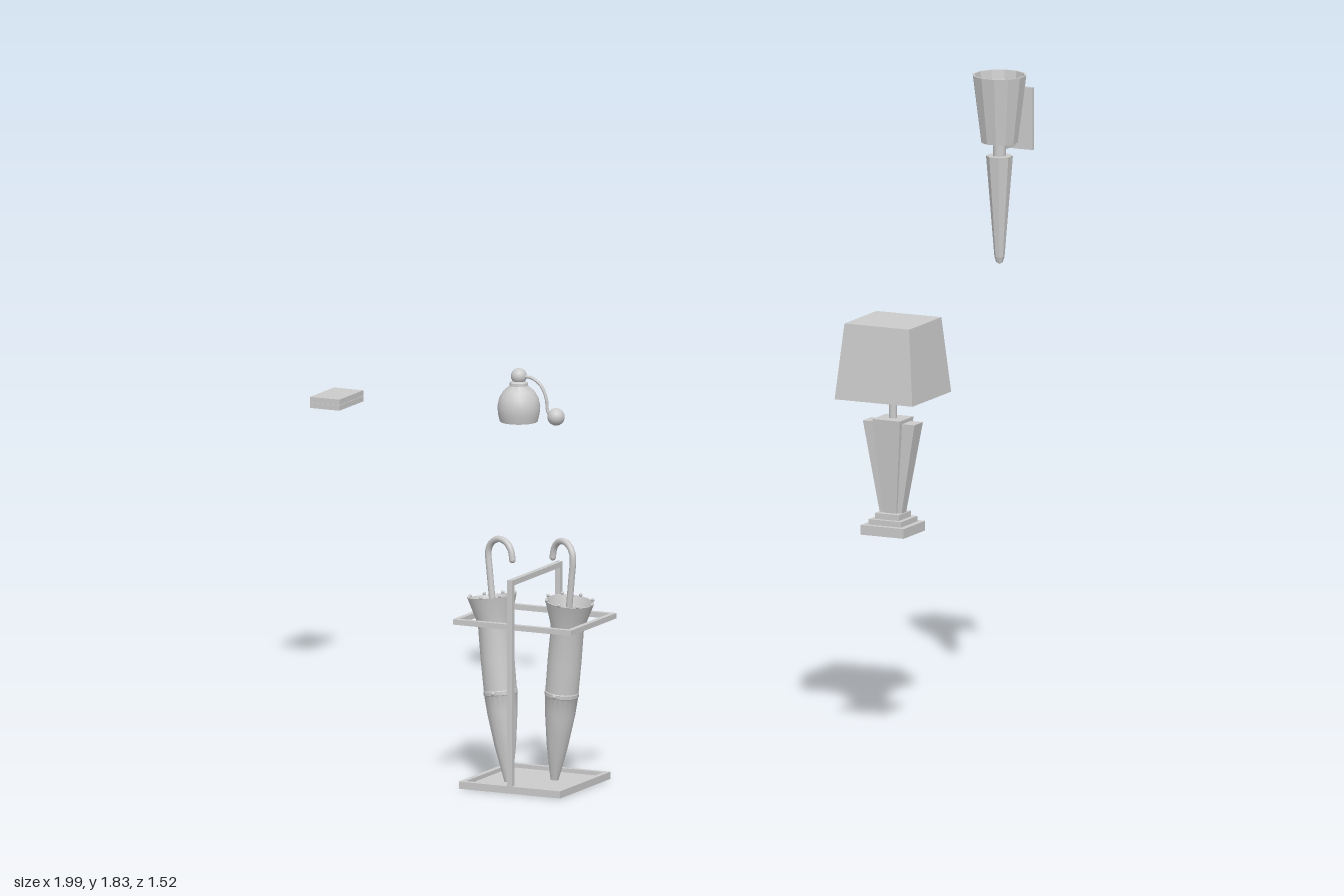
import * as THREE from 'three';
import { toCreasedNormals } from 'three/addons/utils/BufferGeometryUtils.js';

const grey = new THREE.MeshStandardMaterial({ color: 0xcccccc, side: THREE.DoubleSide });
const flatGrey = new THREE.MeshStandardMaterial({ color: 0xcccccc, side: THREE.DoubleSide, flatShading: true });

function add(parent, name, geometry, x = 0, y = 0, z = 0, material = grey) {
  const mesh = new THREE.Mesh(geometry, material);
  mesh.name = name;
  mesh.position.set(x, y, z);
  parent.add(mesh);
  return mesh;
}

function group(parent, name, x = 0, y = 0, z = 0) {
  const g = new THREE.Group();
  g.name = name;
  g.position.set(x, y, z);
  parent.add(g);
  return g;
}

// box given by its minimum and maximum corners
function bar(parent, name, x0, x1, y0, y1, z0, z1) {
  return add(parent, name, new THREE.BoxGeometry(x1 - x0, y1 - y0, z1 - z0),
    (x0 + x1) / 2, (y0 + y1) / 2, (z0 + z1) / 2);
}

function lathe(points, sides, start = 0) {
  const pts = points.map(([r, y]) => new THREE.Vector2(r, y));
  return toCreasedNormals(new THREE.LatheGeometry(pts, sides, start), 0.6);
}

// box whose top and bottom rectangles differ (half sizes)
function taper(topX, topZ, botX, botZ, y0, y1) {
  const geo = new THREE.BoxGeometry(2, y1 - y0, 2);
  geo.translate(0, (y0 + y1) / 2, 0);
  const p = geo.attributes.position;
  for (let i = 0; i < p.count; i++) {
    const top = p.getY(i) > (y0 + y1) / 2;
    p.setX(i, p.getX(i) * (top ? topX : botX));
    p.setZ(i, p.getZ(i) * (top ? topZ : botZ));
  }
  geo.computeVertexNormals();
  return geo;
}

function tube(points, radius, segments = 32) {
  const curve = new THREE.CatmullRomCurve3(points.map(p => new THREE.Vector3(...p)));
  return new THREE.TubeGeometry(curve, segments, radius, 10);
}

// slim case with a small clasp
function buildCase(root) {
  const g = group(root, 'smallCase');
  bar(g, 'caseBottom', -0.995, -0.905, 0.795, 0.81, -0.417, -0.27);
  bar(g, 'caseLid', -0.995, -0.905, 0.811, 0.826, -0.417, -0.27);
  bar(g, 'caseCore', -0.993, -0.907, 0.8, 0.82, -0.415, -0.272);
  bar(g, 'caseClasp', -1, -0.994, 0.804, 0.817, -0.358, -0.33);
}

// scent bottle with hose and squeeze bulb
function buildAtomizer(root) {
  const g = group(root, 'atomizer', -0.4, 0.795, -0.36);
  add(g, 'bottle', lathe([[0, 0], [0.052, 0], [0.057, 0.02], [0.059, 0.042], [0.054, 0.066],
    [0.042, 0.085], [0.027, 0.097], [0.025, 0.1], [0.025, 0.108], [0.016, 0.113], [0.016, 0.125], [0, 0.125]], 24));
  add(g, 'sprayHead', new THREE.SphereGeometry(0.022, 20, 14), 0, 0.126, 0);
  add(g, 'hose', tube([[0.01, 0.126, 0], [0.04, 0.124, 0], [0.068, 0.105, 0], [0.084, 0.07, 0],
    [0.088, 0.038, 0], [0.098, 0.022, 0], [0.112, 0.022, 0]], 0.0045));
  add(g, 'squeezeBulb', new THREE.SphereGeometry(0.024, 20, 14), 0.114, 0.022, 0);
}

// table lamp: stepped foot, winged column, square shade
function buildTableLamp(root) {
  const g = group(root, 'tableLamp', 0.745, 0, -0.362);
  [[0.066, 0.585, 0.612], [0.05, 0.612, 0.627], [0.037, 0.627, 0.643]].forEach(([h, y0, y1], i) =>
    bar(g, 'footStep' + (i + 1), -h, h, y0, y1, -h, h));
  add(g, 'column', taper(0.042, 0.042, 0.02, 0.02, 0.64, 0.906));
  add(g, 'columnWings', taper(0.079, 0.026, 0.033, 0.014, 0.64, 0.896));
  add(g, 'stem', new THREE.CylinderGeometry(0.011, 0.011, 0.2, 12), 0, 1.0, 0);
  const q = Math.SQRT2;
  add(g, 'shade', lathe([[0, 1.168], [0.09 * q, 1.168], [0.109 * q, 0.968], [0.119 * q, 0.968],
    [0.099 * q, 1.178], [0, 1.178]], 4, Math.PI / 4), 0, 0, 0, flatGrey);
}

// wall lamp: tapering pendant, open cup, arm and wall plate
function buildWallLamp(root) {
  const g = group(root, 'wallLamp', 0.92, 0, -0.665);
  add(g, 'pendant', lathe([[0, 1.298], [0.009, 1.302], [0.014, 1.318], [0.037, 1.6], [0, 1.6]], 8, Math.PI / 8),
    0, 0, 0, flatGrey);
  add(g, 'neck', new THREE.CylinderGeometry(0.018, 0.018, 0.05, 12), 0, 1.62, 0);
  add(g, 'cupShade', lathe([[0, 1.638], [0.051, 1.638], [0.075, 1.826], [0.07, 1.826],
    [0.045, 1.648], [0, 1.648]], 12, Math.PI / 12), 0, 0, 0, flatGrey);
  bar(g, 'arm', -0.008, 0.008, 1.614, 1.63, -0.085, 0);
  bar(g, 'wallPlate', -0.034, 0.06, 1.606, 1.78, -0.092, -0.082);
}

// stand: tray, upright hoop and holding ring
function buildStand(root) {
  const g = group(root, 'umbrellaStand', 0.13, 0, 0.603);
  const t = 0.015, w = 0.155, d = 0.155;
  bar(g, 'trayPlate', -w, w, 0, 0.009, -d, d);
  for (const s of [-1, 1]) {
    const side = (name, x, y, z, sx, sy, sz) => add(g, name, new THREE.BoxGeometry(sx, sy, sz), x, y, z);
    side('trayRimSide', s * (w - t / 2), 0.01, 0, t, 0.02, 2 * d);
    side('trayRimEnd', 0, 0.01, s * (d - t / 2), 2 * w - 2 * t, 0.02, t);
    side('upright', 0, 0.298, s * (d - t / 2), t, 0.595, t);
    side('ringSide', s * (0.181 - t / 2), 0.461, 0, t, t, 0.28);
    side('ringEnd', 0, 0.461, s * (0.14 - t / 2), 0.362 - 2 * t, t, t);
  }
  bar(g, 'topRail', -t / 2, t / 2, 0.58, 0.595, -d, d);
}

// furled umbrella leaning from its tip to its rim
function buildUmbrella(root, name, tip, rim, hookDir) {
  const a = new THREE.Vector3(...tip), axis = new THREE.Vector3(...rim).sub(a);
  const L = axis.length();
  const g = group(root, name, ...tip);
  g.quaternion.setFromUnitVectors(new THREE.Vector3(0, 1, 0), axis.normalize());
  add(g, 'canopy', lathe([[0, 0], [0.011, 0], [0.016, 0.025], [0.03, 0.1], [0.042, 0.19], [0.046, 0.24],
    [0.0475, 0.242], [0.0475, 0.252], [0.046, 0.254], [0.047, 0.34], [0.046, 0.43], [0.048, 0.445],
    [0.068, L], [0.064, L], [0.042, 0.446], [0, 0.44]], 20));
  // rib tips around the rim
  for (let i = 0; i < 8; i++) {
    const u = i / 8 * Math.PI * 2;
    add(g, 'ribTip', new THREE.SphereGeometry(0.005, 8, 6), Math.cos(u) * 0.067, L + 0.003, Math.sin(u) * 0.067);
  }
  add(g, 'strapButton', new THREE.SphereGeometry(0.006, 8, 6), 0, 0.247, 0.047);
  // shaft bent into a crook
  const [hx, hz] = hookDir, r = 0.046, y = L + 0.112;
  const pts = [[0, 0.43, 0], [0, 0.53, 0], [0, y - 0.03, 0]];
  for (let i = 0; i <= 8; i++) {
    const u = Math.PI * i / 8, k = r * (1 - Math.cos(u));
    pts.push([hx * k, y + r * Math.sin(u), hz * k]);
  }
  pts.push([hx * 2 * r, y - 0.012, hz * 2 * r]);
  add(g, 'crookHandle', tube(pts, 0.009, 48));
  add(g, 'handleEnd', new THREE.SphereGeometry(0.009, 10, 8), ...pts[pts.length - 1]);
}

export function createModel() {
  const root = new THREE.Group();
  root.name = 'hallFurnishings';
  buildCase(root);
  buildAtomizer(root);
  buildTableLamp(root);
  buildWallLamp(root);
  buildStand(root);
  buildUmbrella(root, 'umbrellaLeaningRight', [0.085, 0.015, 0.673], [0.02, 0.522, 0.645], [0.95, 0.31]);
  buildUmbrella(root, 'umbrellaLeaningLeft', [0.185, 0.015, 0.592], [0.243, 0.522, 0.615], [-0.89, -0.45]);
  return root;
}
